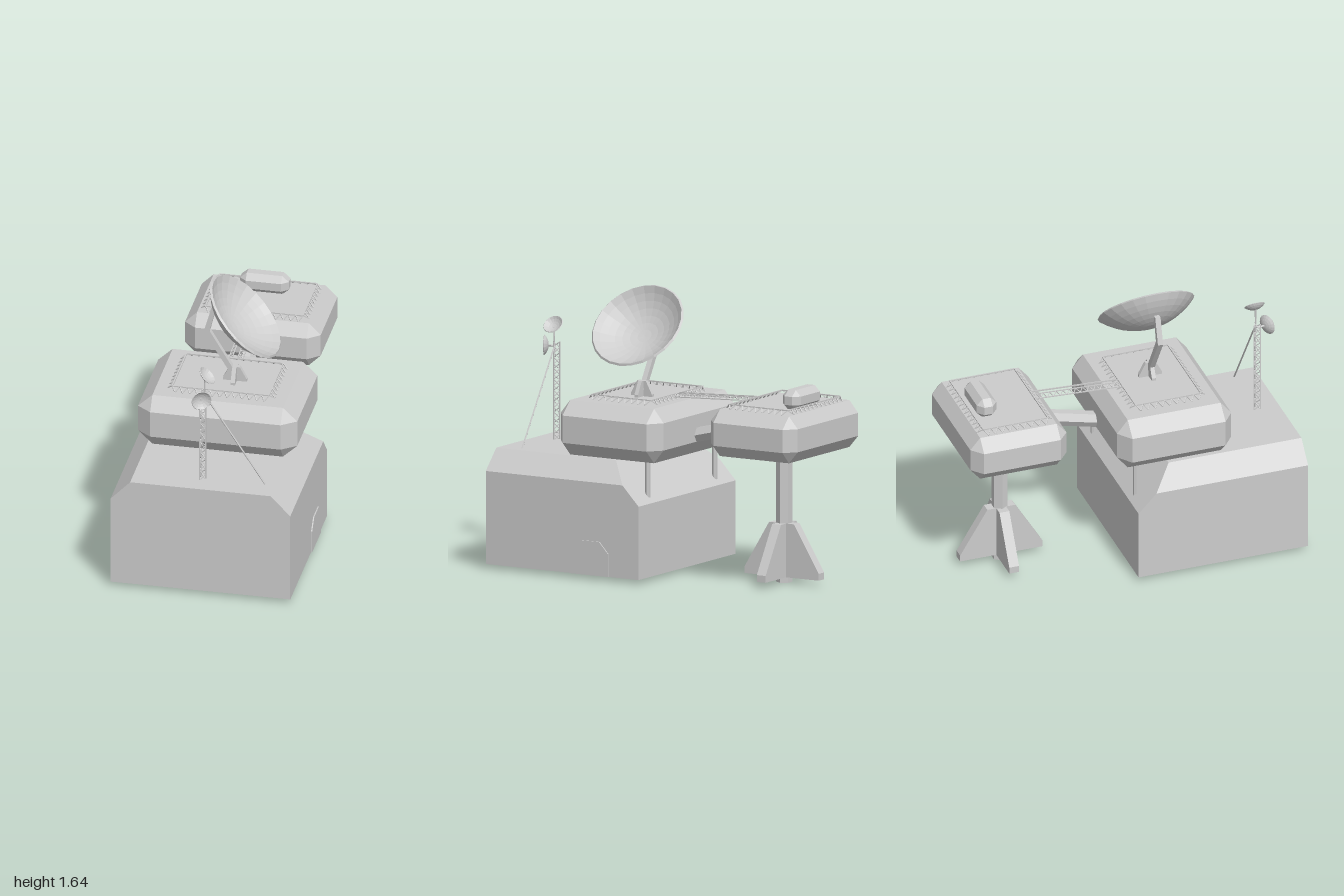
import * as THREE from 'three';
import { ConvexGeometry } from 'three/addons/geometries/ConvexGeometry.js';
import { mergeGeometries } from 'three/addons/utils/BufferGeometryUtils.js';

const grey = new THREE.MeshStandardMaterial({ color: 0xcccccc, flatShading: true });
const V = (x, y, z) => new THREE.Vector3(x, y, z);

function add(parent, name, geometry) {
  const mesh = new THREE.Mesh(geometry, grey);
  mesh.name = name;
  parent.add(mesh);
  return mesh;
}

// Prism running from a to b
function strut(a, b, radius, sides = 4) {
  const g = new THREE.CylinderGeometry(radius, radius, a.distanceTo(b), sides);
  g.rotateY(Math.PI / sides).rotateX(Math.PI / 2);
  const o = new THREE.Object3D();
  o.position.copy(a).lerp(b, 0.5);
  o.lookAt(b);
  o.updateMatrix();
  return g.applyMatrix4(o.matrix);
}

// Box with every edge cut by cx, cy, cz
function chamferBox(w, h, d, cx, cy, cz) {
  const pts = [];
  for (const sx of [-1, 1]) for (const sy of [-1, 1]) for (const sz of [-1, 1]) {
    const x = w / 2, y = h / 2, z = d / 2;
    pts.push(V(sx * x, sy * (y - cy), sz * (z - cz)));
    pts.push(V(sx * (x - cx), sy * y, sz * (z - cz)));
    pts.push(V(sx * (x - cx), sy * (y - cy), sz * z));
  }
  return new ConvexGeometry(pts);
}

// Zigzag of thin bars between line a-b and line c-d
function zigzag(a, b, c, d, teeth, r = 0.0035) {
  const bars = [];
  for (let i = 0; i < teeth * 2; i++) {
    const p = i / (teeth * 2), q = (i + 1) / (teeth * 2);
    const s = a.clone().lerp(b, i % 2 ? q : p), e = c.clone().lerp(d, i % 2 ? p : q);
    bars.push(strut(s, e, r));
  }
  return bars;
}

// Top rail around a deck, braced outwards to the floor
function railing(x0, x1, z0, z1, deck) {
  const top = deck + 0.025, out = 0.03;
  const inner = [V(x0, top, z0), V(x1, top, z0), V(x1, top, z1), V(x0, top, z1)];
  const bars = [];
  inner.forEach((a, i) => {
    const b = inner[(i + 1) % 4];
    const dir = b.clone().sub(a).normalize();
    const off = V(dir.z * out, deck - top, -dir.x * out);
    bars.push(strut(a, b, 0.005));
    bars.push(...zigzag(a, b, a.clone().add(off), b.clone().add(off), Math.round(a.distanceTo(b) / 0.045)));
  });
  return mergeGeometries(bars);
}

// Lattice girder: rails through the offsets, braced in the listed pairs
function girder(a, b, offsets, pairs, teeth) {
  const rails = offsets.map(o => [a.clone().add(o), b.clone().add(o)]);
  const bars = rails.map(([s, e]) => strut(s, e, 0.004));
  for (const [i, j] of pairs) bars.push(...zigzag(...rails[i], ...rails[j], teeth, 0.003));
  return mergeGeometries(bars);
}

// Four tapered fins around a post
function finBase(reach, topReach, height, lip, thickness) {
  const shape = new THREE.Shape([[0, 0], [reach, 0], [reach, lip], [topReach, height], [0, height]]
    .map(p => new THREE.Vector2(...p)));
  const fins = [];
  for (let i = 0; i < 4; i++) {
    const g = new THREE.ExtrudeGeometry(shape, { depth: thickness, bevelEnabled: false });
    fins.push(g.translate(0, 0, -thickness / 2).rotateY(i * Math.PI / 2));
  }
  return mergeGeometries(fins);
}

// Shallow bowl, rim centre at the origin, opening along normal
function dish(parent, name, centre, normal, radius, depth, wall, sides, rings) {
  const profile = [];
  const R = (radius * radius + depth * depth) / (2 * depth);
  const sweep = Math.asin(radius / R);
  for (let i = 0; i <= rings; i++) {
    const t = sweep * i / rings;
    profile.push(new THREE.Vector2(R * Math.sin(t), R - depth - R * Math.cos(t)));
  }
  const inner = R - wall;
  for (let i = rings; i >= 0; i--) {
    const t = sweep * i / rings;
    profile.push(new THREE.Vector2(inner * Math.sin(t), R - depth - inner * Math.cos(t)));
  }
  const mesh = add(parent, name, new THREE.LatheGeometry(profile, sides));
  mesh.position.copy(centre);
  mesh.quaternion.setFromUnitVectors(V(0, 1, 0), normal.normalize());
}

export function createModel() {
  const model = new THREE.Group();
  model.name = 'relayStation';

  // Main block with cut shoulders and a sloping back
  const block = [];
  for (const s of [-1, 1]) {
    for (const [x, y, z] of [[0.53, 0.025, 1], [0.53, 0.57, 1], [0.415, 0.69, 1], [0.53, 0.025, -0.04],
      [0.53, 0.455, -0.04], [0.53, 0.57, 0.07], [0.415, 0.69, 0.185]]) block.push(V(s * x - 0.005, y, z));
  }
  add(model, 'baseBlock', new ConvexGeometry(block));

  // Side door
  const doorShape = new THREE.Shape([[-0.125, 0.025], [0.125, 0.025], [0.125, 0.16], [0.065, 0.225],
    [-0.065, 0.225], [-0.125, 0.16]].map(p => new THREE.Vector2(...p)));
  const door = add(model, 'sideDoor', new THREE.ExtrudeGeometry(doorShape, { depth: 0.012, bevelEnabled: false }));
  door.rotation.y = Math.PI / 2;
  door.position.set(0.52, 0, 0.29);

  // Two platforms with railings
  add(model, 'mainPlatform', chamferBox(0.94, 0.32, 0.7, 0.085, 0.08, 0.065)).position.set(-0.005, 0.85, 0.23);
  add(model, 'mainRailing', railing(-0.29, 0.28, 0.03, 0.43, 1.01));
  add(model, 'rearPlatform', chamferBox(0.8, 0.275, 0.59, 0.07, 0.07, 0.06)).position.set(-0.003, 0.9, -0.705);
  add(model, 'rearRailing', railing(-0.29, 0.285, -0.905, -0.508, 1.037));
  add(model, 'roofUnit', chamferBox(0.288, 0.12, 0.12, 0.04, 0.035, 0.035)).position.set(-0.003, 1.09, -0.82);

  // Rear stand
  add(model, 'rearColumn', strut(V(-0.003, 0, -0.703), V(-0.003, 0.8, -0.703), 0.048, 6));
  add(model, 'rearColumnFins', finBase(0.252, 0.085, 0.315, 0.04, 0.06)).position.set(-0.003, 0.032, -0.703);

  // Props between the sloping back and the main platform
  for (const s of [-1, 1]) {
    add(model, 'platformProp', strut(V(s * 0.365 - 0.005, 0.46, 0), V(s * 0.365 - 0.005, 0.74, 0), 0.015, 6));
  }

  // Links between the platforms
  add(model, 'linkBeam', strut(V(-0.003, 0.8, -0.08), V(-0.003, 0.89, -0.45), 0.047, 6));
  add(model, 'linkGirder', girder(V(-0.005, 1.022, 0.02), V(-0.005, 1.047, -0.505),
    [V(-0.04, 0, 0), V(-0.016, 0.018, 0), V(0.016, 0.018, 0), V(0.04, 0, 0)],
    [[0, 1], [2, 3]], 13));

  // Main dish on its pedestal and cranked arm
  const foot = V(0.04, 1.01, 0.235);
  add(model, 'dishPedestal', finBase(0.07, 0.03, 0.09, 0.015, 0.025)).position.copy(foot);
  const armShape = new THREE.Shape([[0.055, 1.05], [0.02, 1.05], [-0.143, 1.315], [-0.097, 1.475],
    [-0.07, 1.475], [-0.108, 1.322]].map(p => new THREE.Vector2(...p)));
  add(model, 'dishArm', new THREE.ExtrudeGeometry(armShape, { depth: 0.032, bevelEnabled: false }))
    .position.z = 0.219;
  dish(model, 'mainDish', V(0.098, 1.43, 0.232), V(0.72, 0.694, 0), 0.288, 0.12, 0.014, 24, 7);

  // Lattice mast with two small dishes and a guy wire
  const mastFoot = V(-0.018, 0.685, 0.866), mastTop = V(-0.018, 1.26, 0.866);
  add(model, 'mast', girder(mastFoot, mastTop,
    [V(-0.017, 0, -0.02), V(-0.017, 0, 0.02), V(0.016, 0, 0)], [[0, 1], [1, 2], [2, 0]], 9));
  add(model, 'mastRod', strut(V(-0.012, 1.2, 0.866), V(-0.005, 1.35, 0.866), 0.005, 6));
  add(model, 'dishBracket', strut(V(-0.018, 1.235, 0.866), V(-0.02, 1.235, 0.92), 0.006, 6));
  dish(model, 'upperDish', V(0.007, 1.367, 0.865), V(0.7, 0.71, 0), 0.061, 0.025, 0.004, 16, 4);
  dish(model, 'frontDish', V(-0.012, 1.236, 0.936), V(0.45, 0, 0.89), 0.06, 0.025, 0.004, 16, 4);
  add(model, 'guyWire', strut(V(-0.015, 1.25, 0.864), V(0.35, 0.688, 0.862), 0.005, 6));

  return model;
}
